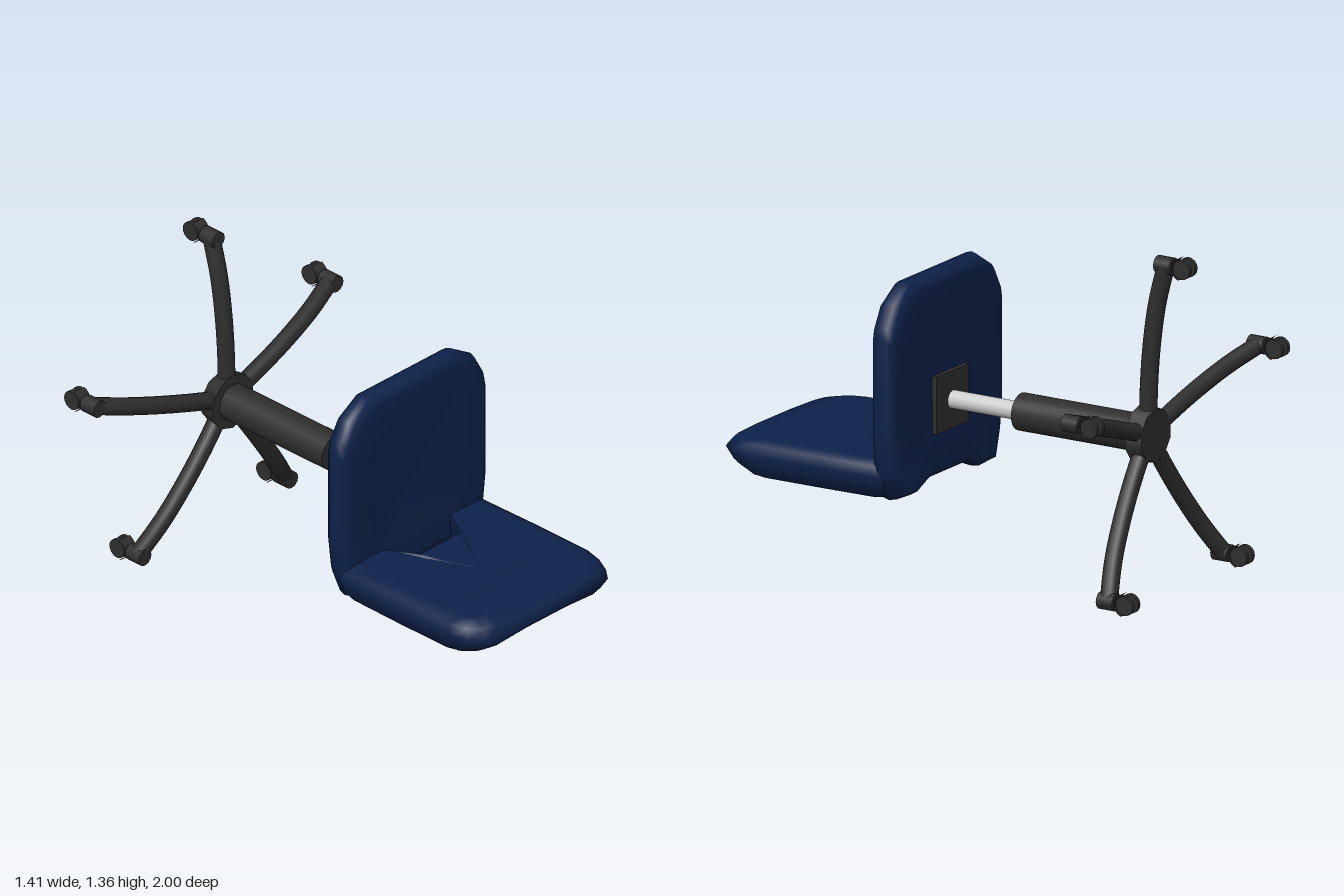
import * as THREE from 'three';

const navy = new THREE.MeshStandardMaterial({ color: 0x0d2149, side: THREE.DoubleSide });
const dark = new THREE.MeshStandardMaterial({ color: 0x2e2e2e, side: THREE.DoubleSide });
const grey = new THREE.MeshStandardMaterial({ color: 0xcccccc });

const CX = 0.005, CY = 0.625; // axis of the column and base
const REACH = 0.705;          // distance from the axis to each caster

function add(parent, name, geometry, material, x = 0, y = 0, z = 0) {
  const mesh = new THREE.Mesh(geometry, material);
  mesh.name = name;
  mesh.position.set(x, y, z);
  parent.add(mesh);
  return mesh;
}

// Cushion: a mirrored outline shrunk through rings of [scale, height]; place() puts each point in space.
function cushion(half, rings, place) {
  const outline = [...half, ...half.map(([u, v]) => [-u, v]).reverse()];
  const n = outline.length, pos = [], index = [];
  for (const [s, h] of rings) for (const [u, v] of outline) pos.push(...place(u, v, s, h));
  for (let i = 0; i < rings.length - 1; i++) {
    for (let j = 0; j < n; j++) {
      const k = (j + 1) % n;
      const a = i * n + j, b = i * n + k, c = a + n, d = b + n;
      if (rings[i][0] > 0) index.push(a, c, b);
      if (rings[i + 1][0] > 0) index.push(b, c, d);
      else if (rings[i][0] > 0) continue;
    }
  }
  const g = new THREE.BufferGeometry();
  g.setAttribute('position', new THREE.Float32BufferAttribute(pos, 3));
  g.setIndex(index);
  g.computeVertexNormals();
  return g;
}

// Horizontal cushion, with a tapered front lip, a notch at the rear and a hollow underside
function lowerCushion() {
  const half = [[0.12, 1], [0.28, 0.99], [0.34, 0.975], [0.385, 0.92], [0.405, 0.83], [0.405, 0.5],
    [0.4, 0.22], [0.36, 0.17], [0.22, 0.2], [0.19, 0.25], [0.13, 0.355]];
  const rings = [[0, 0.045], [0.5, 0.05], [0.8, 0.063], [0.9, 0.06], [0.97, 0.04], [1, 0],
    [0.97, -0.05], [0.9, -0.095], [0.8, -0.1], [0.5, -0.095], [0, -0.09]];
  const mid = 0.62;
  return cushion(half, rings, (u, v, s, h) => {
    const x = u * s;
    const z = mid + (v - mid) * (v > mid ? s ** 3 : s);
    const lift = h < 0 ? -h * 0.4 * Math.max(0, 1 - (x / 0.27) ** 2) : 0;
    return [x + CX, 0.385 + h + lift, z];
  });
}

// Upright cushion, thicker along its lower edge
function uprightCushion() {
  const half = [[0.15, 0.32], [0.25, 0.28], [0.35, 0.285], [0.4, 0.4], [0.42, 0.55], [0.42, 0.75],
    [0.42, 0.95], [0.41, 1.0], [0.36, 1.09], [0.25, 1.158]];
  const front = [[0, 0.05], [0.6, 0.053], [0.88, 0.057], [0.95, 0.045], [0.985, 0.025]];
  const rings = [...front, [1, 0], ...front.map(([s, h]) => [s, -h]).reverse()];
  return cushion(half, rings, (u, v, s, h) => {
    const y = 0.72 + (v - 0.72) * s;
    const swell = 1 + 0.3 * (1 - THREE.MathUtils.smoothstep(y, 0.3, 0.46));
    return [u * s + CX, y, 0.203 + h * swell];
  });
}

// Twin-wheel caster under a curved hood, its origin at the wheel centre
function caster() {
  const group = new THREE.Group();
  group.name = 'caster';
  add(group, 'casterSocket', new THREE.CylinderGeometry(0.036, 0.036, 0.075, 12), dark, 0, 0, 0.09)
    .rotation.x = Math.PI / 2;
  add(group, 'casterStem', new THREE.CylinderGeometry(0.014, 0.014, 0.08, 8), dark, 0, 0, 0.04)
    .rotation.x = Math.PI / 2;
  for (const side of [-1, 1]) {
    add(group, 'wheel', new THREE.CylinderGeometry(0.04, 0.04, 0.018, 16), dark, side * 0.02, 0, 0)
      .rotation.z = Math.PI / 2;
  }
  add(group, 'axle', new THREE.CylinderGeometry(0.01, 0.01, 0.05, 8), dark).rotation.z = Math.PI / 2;
  add(group, 'hood', new THREE.CylinderGeometry(0.047, 0.047, 0.058, 12, 1, true, -Math.PI * 0.4, Math.PI * 0.8), dark)
    .rotation.z = Math.PI / 2;
  return group;
}

export function createModel() {
  const model = new THREE.Group();
  model.name = 'swivelChair';

  add(model, 'lowerCushion', lowerCushion(), navy);
  add(model, 'uprightCushion', uprightCushion(), navy);

  // Mounting plate and telescopic column along z
  add(model, 'mountingPlate', new THREE.BoxGeometry(0.235, 0.235, 0.025), dark, CX, CY, 0.143);
  add(model, 'piston', new THREE.CylinderGeometry(0.037, 0.037, 0.36, 24), grey, CX, CY, -0.04)
    .rotation.x = Math.PI / 2;
  add(model, 'columnSleeve', new THREE.CylinderGeometry(0.076, 0.076, 0.58, 24), dark, CX, CY, -0.48)
    .rotation.x = Math.PI / 2;

  // Five-legged base
  const base = new THREE.Group();
  base.name = 'base';
  base.position.set(CX, CY, 0);
  model.add(base);
  add(base, 'hub', new THREE.CylinderGeometry(0.12, 0.11, 0.07, 10), dark, 0, 0, -0.785)
    .rotation.x = Math.PI / 2;
  const arc = [[0, -0.785], [0.18, -0.787], [0.36, -0.8], [0.54, -0.826], [REACH, -0.868]];
  const legCurve = new THREE.CatmullRomCurve3(arc.map(([r, z]) => new THREE.Vector3(0, r, z)));
  const legGeometry = new THREE.TubeGeometry(legCurve, 16, 0.036, 12);
  for (let i = 0; i < 5; i++) {
    const angle = (i * Math.PI * 2) / 5;
    add(base, 'leg', legGeometry, dark).rotation.z = angle;
    const wheelSet = caster();
    wheelSet.position.set(-Math.sin(angle) * REACH, Math.cos(angle) * REACH, -0.957);
    base.add(wheelSet);
  }
  return model;
}
